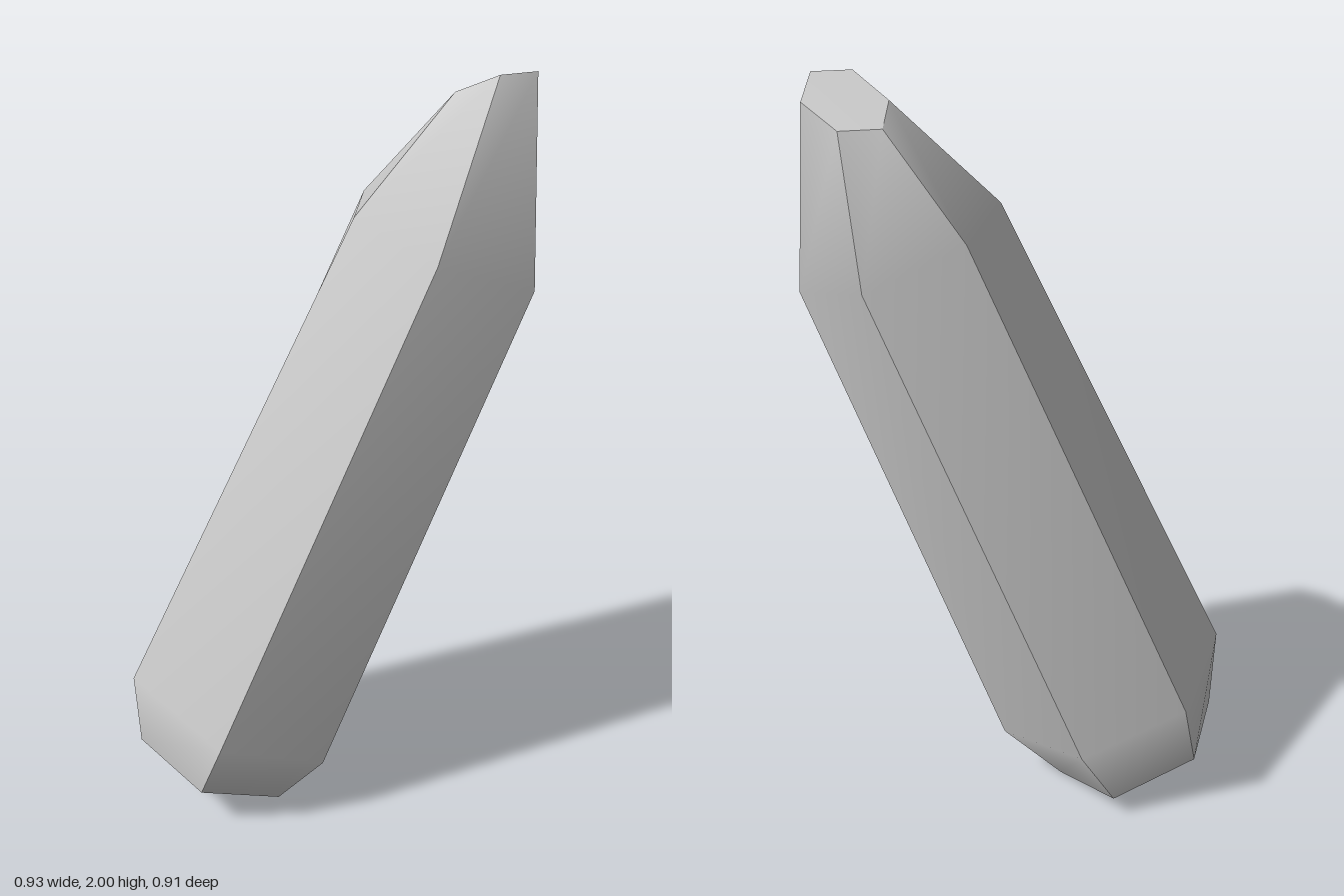
import * as THREE from 'three';

// Six-sided rings from base to tip; corners run from +x towards +z.
const rings = [
  [[0.015, 0.03, 0.24], [-0.09, 0.12, 0.44], [-0.325, 0.18, 0.425], [-0.455, 0.15, 0.225], [-0.35, 0.06, 0.02], [-0.11, 0, 0.045]],
  [[0.145, 0.19, 0.205], [0, 0.31, 0.456], [-0.32, 0.4, 0.445], [-0.468, 0.345, 0.165], [-0.33, 0.235, -0.085], [-0.01, 0.15, -0.08]],
  [[0.465, 1.51, -0.22], [0.336, 1.61, 0.01], [0.073, 1.67, -0.01], [-0.07, 1.65, -0.24], [0.055, 1.545, -0.457], [0.323, 1.475, -0.452]],
  [[0.355, 2, -0.36], [0.303, 2, -0.275], [0.19, 1.945, -0.255], [0.13, 1.9, -0.322], [0.185, 1.9, -0.412], [0.298, 1.95, -0.432]],
];

function surface(points, index) {
  const g = new THREE.BufferGeometry();
  g.setAttribute('position', new THREE.Float32BufferAttribute(points.flat(), 3));
  g.setIndex(index);
  g.computeVertexNormals();
  return g;
}

export function createModel() {
  const crystal = new THREE.Group();
  crystal.name = 'crystal';
  const stone = new THREE.MeshStandardMaterial({ color: 0xcccccc });
  stone.name = 'paleGreyStone';

  const add = (name, geometry) => {
    const mesh = new THREE.Mesh(geometry, stone);
    mesh.name = name;
    crystal.add(mesh);
  };

  // Long facets: smooth along their length, sharp against their neighbours
  for (let i = 0; i < 6; i++) {
    const points = rings.flatMap((ring) => [ring[i], ring[(i + 1) % 6]]);
    const index = [];
    for (let r = 0; r < rings.length - 1; r++) {
      const a = r * 2, b = a + 1, d = a + 2, c = a + 3;
      index.push(a, d, b, b, d, c);
    }
    add(`sideFacet${i + 1}`, surface(points, index));
  }

  // Flat tip and base
  const tip = [], base = [];
  for (let i = 1; i < 5; i++) {
    tip.push(0, i + 1, i);
    base.push(0, i, i + 1);
  }
  add('tipFacet', surface(rings[3], tip));
  add('baseFacet', surface(rings[0], base));
  return crystal;
}
